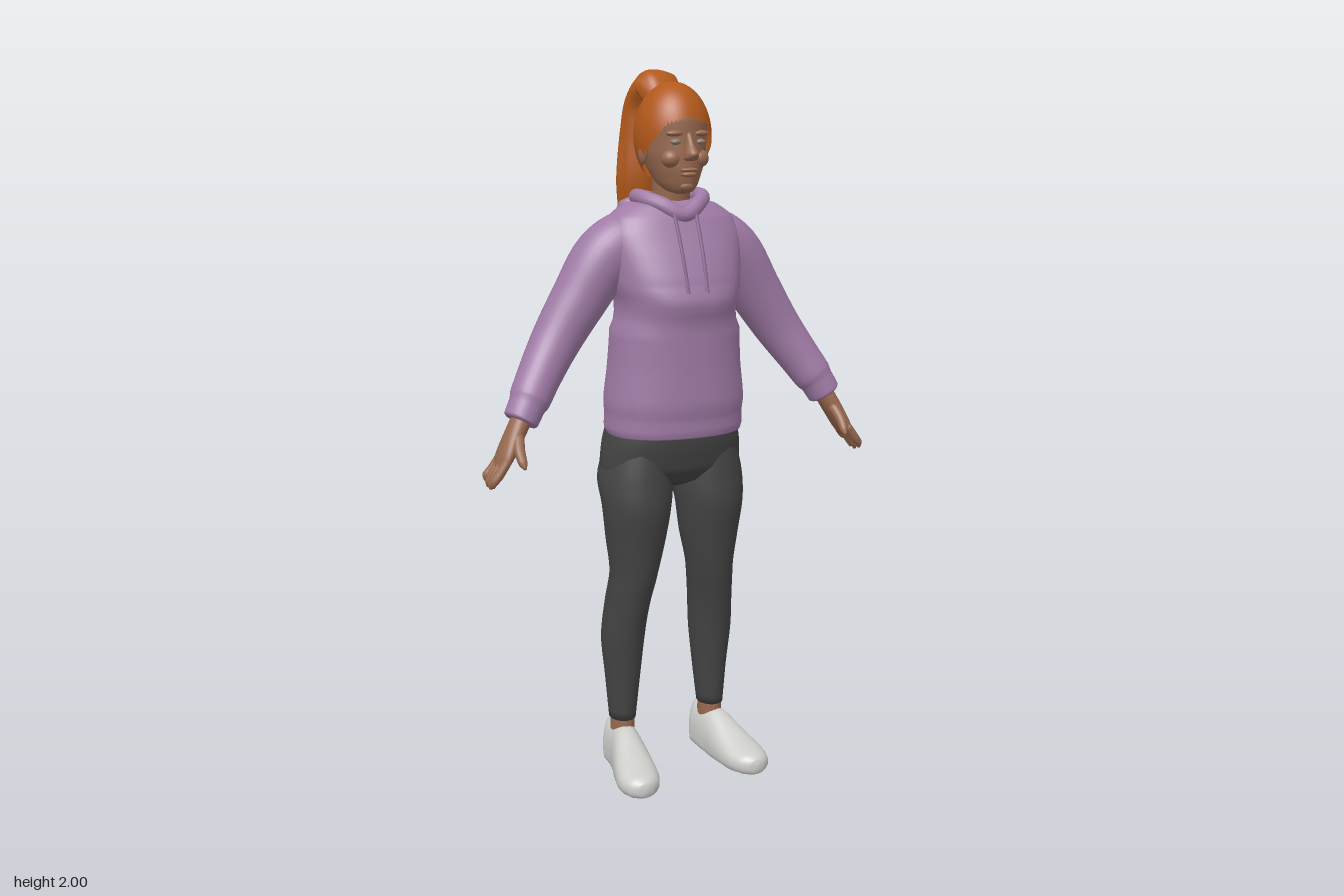
import * as THREE from 'three';

const mat = (name, color) => {
  const m = new THREE.MeshStandardMaterial({ color });
  m.name = name;
  return m;
};
const X = new THREE.Vector3(1, 0, 0), Z = new THREE.Vector3(0, 0, 1);
const UP = new THREE.Vector3(0, 1, 0), DOWN = new THREE.Vector3(0, -1, 0);

// Smooth closed skin through stations [x, y, z, radius along ref, other radius]
function loft(stations, { ref = X, axis = null, n = 2, seg = 32, steps = 5, wave = null } = {}) {
  const path = new THREE.CatmullRomCurve3(stations.map(s => new THREE.Vector3(s[0], s[1], s[2])));
  const radii = new THREE.CatmullRomCurve3(stations.map(s => new THREE.Vector3(s[3], s[4], 0)));
  const rows = (stations.length - 1) * steps, pos = [], idx = [];
  const pw = v => Math.sign(v) * Math.abs(v) ** (2 / n);
  for (let i = 0; i <= rows; i++) {
    const k = i / rows, c = path.getPoint(k), r = radii.getPoint(k);
    const t = axis || path.getTangent(k);
    const u = ref.clone().addScaledVector(t, -ref.dot(t)).normalize();
    const v = new THREE.Vector3().crossVectors(t, u);
    for (let j = 0; j < seg; j++) {
      const a = j / seg * Math.PI * 2, w = wave ? wave(a, k) : 1;
      const p = c.clone().addScaledVector(u, r.x * w * pw(Math.cos(a)))
        .addScaledVector(v, r.y * w * pw(Math.sin(a)));
      pos.push(p.x, p.y, p.z);
      if (i < rows) {
        const A = i * seg + j, B = i * seg + (j + 1) % seg;
        idx.push(A, B, A + seg, B, B + seg, A + seg);
      }
    }
  }
  const first = stations[0], last = stations[stations.length - 1], e = (rows + 1) * seg;
  pos.push(first[0], first[1], first[2], last[0], last[1], last[2]);
  for (let j = 0; j < seg; j++) {
    const q = (j + 1) % seg;
    idx.push(e, q, j, e + 1, rows * seg + j, rows * seg + q);
  }
  const g = new THREE.BufferGeometry();
  g.setAttribute('position', new THREE.Float32BufferAttribute(pos, 3));
  g.setIndex(idx);
  g.computeVertexNormals();
  return g;
}

function ball(x, y, z, rx, ry, rz) {
  return new THREE.SphereGeometry(1, 24, 16).scale(rx, ry, rz).translate(x, y, z);
}

export function createModel() {
  const root = new THREE.Group();
  const skin = mat('skin', 0x98694f), hair = mat('red hair', 0xb2591b);
  const knit = mat('lilac fabric', 0xa07ba6), cord = mat('cord', 0x87658d);
  const dark = mat('charcoal leggings', 0x444444), white = mat('shoe white', 0xcdcdca);
  const eyeMat = mat('eyes', 0x8d7c72);
  hair.side = THREE.DoubleSide;
  knit.side = THREE.DoubleSide;
  const add = (name, geo, m) => {
    const mesh = new THREE.Mesh(geo, m);
    mesh.name = name;
    root.add(mesh);
    return mesh;
  };

  // Hoodie body
  const torso = [
    [0, 1.01, 0.01, 0.193, 0.146], [0, 1.03, 0.01, 0.198, 0.15], [0, 1.06, 0.011, 0.197, 0.15],
    [0, 1.10, 0.013, 0.199, 0.155], [0, 1.2, 0.016, 0.188, 0.15], [0, 1.3, 0.02, 0.182, 0.147],
    [0, 1.42, 0.022, 0.182, 0.147], [0, 1.5, 0.01, 0.192, 0.13], [0, 1.56, -0.002, 0.198, 0.112],
    [0, 1.605, -0.01, 0.18, 0.098], [0, 1.64, -0.015, 0.13, 0.078], [0, 1.65, -0.015, 0.09, 0.06]];
  add('hoodieBody', loft(torso, { axis: UP, n: 2.3, seg: 48 }), knit);

  // Front pocket, a thin skin following the belly
  const pocket = new THREE.PlaneGeometry(2, 0.18, 24, 10), pp = pocket.attributes.position;
  for (let i = 0; i < pp.count; i++) {
    const y = pp.getY(i) + 1.155;
    const x = pp.getX(i) * (y > 1.15 ? 0.16 - (y - 1.15) * 0.45 : 0.16);
    const k = torso.findIndex(s => s[1] > y), a = torso[k - 1], b = torso[k];
    const f = (y - a[1]) / (b[1] - a[1]), mix = c => a[c] + (b[c] - a[c]) * f;
    pp.setXYZ(i, x, y, mix(2) + mix(4) * (1 - (Math.abs(x) / mix(3)) ** 2.3) ** (1 / 2.3) + 0.006);
  }
  pocket.computeVertexNormals();
  add('pocket', pocket, knit);

  // Hood: rolled collar and the bag lying on the back
  const collar = new THREE.CatmullRomCurve3([[0, 1.612, 0.08], [0.055, 1.64, 0.055], [0.09, 1.657, 0],
    [0.07, 1.655, -0.07], [0, 1.645, -0.1], [-0.07, 1.655, -0.07], [-0.09, 1.657, 0],
    [-0.055, 1.64, 0.055]].map(p => new THREE.Vector3(...p)), true);
  add('hoodCollar', new THREE.TubeGeometry(collar, 64, 0.022, 12, true), knit);
  add('hoodBag', loft([[0, 1.66, -0.08, 0.075, 0.03], [0, 1.64, -0.095, 0.115, 0.045],
    [0, 1.59, -0.105, 0.125, 0.05], [0, 1.54, -0.11, 0.1, 0.045], [0, 1.5, -0.11, 0.05, 0.025],
    [0, 1.485, -0.11, 0.01, 0.008]], { axis: DOWN }), knit);

  // Leggings seat
  add('leggingsSeat', loft([[0, 1.06, 0, 0.18, 0.13], [0, 0.98, -0.006, 0.202, 0.132],
    [0, 0.91, -0.011, 0.208, 0.12], [0, 0.87, -0.01, 0.16, 0.09], [0, 0.85, -0.01, 0.05, 0.05]],
  { axis: DOWN, n: 2.3 }), dark);

  for (const s of [1, -1]) {
    const side = s > 0 ? 'left' : 'right';
    const limb = (name, st, m, opt) => add(side + name, loft(st.map(([x, ...r]) => [x * s, ...r]), opt), m);

    // Sleeve with cuff
    limb('Sleeve', [[0.11, 1.54, -0.015, 0.07, 0.07], [0.14, 1.535, -0.015, 0.085, 0.085],
      [0.19, 1.5, -0.018, 0.086, 0.086], [0.27, 1.385, -0.018, 0.076, 0.077],
      [0.34, 1.28, -0.01, 0.068, 0.068], [0.4, 1.19, 0.018, 0.06, 0.06],
      [0.435, 1.135, 0.04, 0.056, 0.056], [0.446, 1.118, 0.046, 0.05, 0.05],
      [0.465, 1.085, 0.053, 0.05, 0.048], [0.468, 1.08, 0.054, 0.043, 0.042]], knit, { ref: Z });

    // Hand
    limb('Palm', [[0.455, 1.1, 0.05, 0.03, 0.028], [0.49, 1.04, 0.06, 0.038, 0.026],
      [0.518, 0.99, 0.066, 0.046, 0.021], [0.532, 0.962, 0.068, 0.04, 0.014]], skin, { ref: Z });
    for (let f = 0; f < 4; f++) {
      const z = 0.033 + f * 0.023, d = [0.014, 0.002, 0, 0.008][f];
      limb('Finger' + (f + 1), [[0.518, 0.99, z, 0.012, 0.012], [0.546, 0.95, z, 0.013, 0.013],
        [0.559, 0.925 + d, z, 0.011, 0.011], [0.562, 0.91 + d, z, 0.004, 0.004]], skin,
      { ref: Z, seg: 12, steps: 4 });
    }
    limb('Thumb', [[0.482, 1.045, 0.08, 0.016, 0.018], [0.49, 1.012, 0.112, 0.015, 0.015],
      [0.489, 0.985, 0.135, 0.012, 0.012], [0.487, 0.972, 0.147, 0.004, 0.004]], skin,
    { ref: X, seg: 12, steps: 4 });

    // Leg and ankle
    limb('Leg', [[0.105, 0.97, -0.008, 0.085, 0.11], [0.109, 0.88, -0.011, 0.105, 0.122],
      [0.113, 0.8, 0.01, 0.098, 0.105], [0.115, 0.7, 0.006, 0.085, 0.092],
      [0.12, 0.6, 0.002, 0.068, 0.079], [0.132, 0.5, -0.02, 0.063, 0.079],
      [0.14, 0.4, -0.035, 0.062, 0.074], [0.141, 0.27, -0.038, 0.05, 0.059],
      [0.143, 0.145, -0.037, 0.038, 0.047]], dark, { axis: DOWN });
    limb('Ankle', [[0.143, 0.17, -0.037, 0.034, 0.042], [0.143, 0.08, -0.037, 0.034, 0.045]], skin, { axis: DOWN });

    // Shoe: rounded upper, flat sole
    const shoe = limb('Shoe', [[0.142, 0.05, -0.112, 0.012, 0.03], [0.142, 0.04, -0.104, 0.034, 0.085],
      [0.143, 0.035, -0.08, 0.045, 0.094], [0.145, 0.035, -0.02, 0.047, 0.094],
      [0.15, 0.035, 0.015, 0.05, 0.09], [0.16, 0.03, 0.08, 0.059, 0.066], [0.171, 0.025, 0.15, 0.062, 0.044],
      [0.175, 0.025, 0.195, 0.048, 0.034], [0.176, 0.025, 0.215, 0.024, 0.022],
      [0.176, 0.025, 0.22, 0.006, 0.008]], white, { axis: Z, n: 2.2 });
    const sp = shoe.geometry.attributes.position;
    for (let i = 0; i < sp.count; i++) sp.setY(i, Math.max(0, sp.getY(i)));
    shoe.geometry.computeVertexNormals();

    // Hood cord, ear, eye and brow ridge
    const line = new THREE.CatmullRomCurve3([[0.032, 1.618, 0.088], [0.031, 1.56, 0.116],
      [0.03, 1.5, 0.142], [0.028, 1.41, 0.172]].map(([x, y, z]) => new THREE.Vector3(x * s, y, z)));
    add(side + 'Cord', new THREE.TubeGeometry(line, 24, 0.005, 8), cord);
    add(side + 'Ear', ball(s * 0.09, 1.775, 0.012, 0.012, 0.03, 0.018), skin);
    add(side + 'Eye', ball(s * 0.036, 1.806, 0.105, 0.015, 0.008, 0.012), eyeMat);
    add(side + 'Brow', ball(s * 0.036, 1.828, 0.1, 0.026, 0.009, 0.017), skin);
    add(side + 'Cheek', ball(s * 0.04, 1.762, 0.086, 0.028, 0.025, 0.027), skin);
  }

  // Neck, head and face
  add('neck', loft([[0, 1.57, -0.02, 0.065, 0.06], [0, 1.66, -0.005, 0.052, 0.055],
    [0, 1.76, 0, 0.055, 0.06]], { axis: UP }), skin);
  add('head', loft([[0, 1.668, 0.06, 0.012, 0.02], [0, 1.675, 0.055, 0.034, 0.042],
    [0, 1.695, 0.035, 0.053, 0.073], [0, 1.735, 0.02, 0.071, 0.096], [0, 1.775, 0.013, 0.083, 0.103],
    [0, 1.815, 0.008, 0.088, 0.107], [0, 1.865, 0.006, 0.093, 0.109], [0, 1.91, 0.005, 0.075, 0.085],
    [0, 1.94, 0.005, 0.03, 0.035]], { axis: UP }), skin);
  add('nose', loft([[0, 1.83, 0.104, 0.009, 0.012], [0, 1.8, 0.116, 0.011, 0.018],
    [0, 1.775, 0.127, 0.018, 0.027], [0, 1.762, 0.123, 0.019, 0.022], [0, 1.756, 0.115, 0.008, 0.01]],
  { axis: DOWN, seg: 16 }), skin);
  add('upperLip', ball(0, 1.733, 0.113, 0.026, 0.006, 0.014), skin);
  add('lowerLip', ball(0, 1.721, 0.111, 0.022, 0.007, 0.014), skin);
  add('chin', ball(0, 1.69, 0.09, 0.024, 0.016, 0.02), skin);

  // Hair cap: shell with a hairline falling from the brow to the nape
  const cap = new THREE.SphereGeometry(1, 64, 24), cp = cap.attributes.position, uv = cap.attributes.uv;
  const hairline = [[0, 1.868], [0.6, 1.85], [1.0, 1.80], [1.35, 1.765], [1.8, 1.72], [3.2, 1.69]];
  for (let i = 0; i < cp.count; i++) {
    const az = uv.getX(i) * Math.PI * 2, a = Math.abs(az - Math.PI);
    const k = Math.max(1, hairline.findIndex(h => h[0] > a)), [p, q] = [hairline[k - 1], hairline[k]];
    const edge = p[1] + (q[1] - p[1]) * (a - p[0]) / (q[0] - p[0]);
    const th = (1 - uv.getY(i)) * Math.acos((edge - 1.82) / 0.143), r = Math.sin(th);
    cp.setXYZ(i, -Math.sin(az) * r * 0.104, 1.82 + Math.cos(th) * 0.143, 0.006 - Math.cos(az) * r * 0.116);
  }
  cap.computeVertexNormals();
  add('hairCap', cap, hair);

  // Ponytail with wavy locks
  add('ponytail', loft([[0, 1.88, -0.05, 0.035, 0.03], [0, 1.925, -0.07, 0.055, 0.04],
    [0, 1.95, -0.1, 0.066, 0.048], [0, 1.91, -0.14, 0.074, 0.05], [0, 1.82, -0.155, 0.082, 0.052],
    [0, 1.71, -0.16, 0.09, 0.052], [0, 1.62, -0.172, 0.082, 0.044], [0, 1.55, -0.182, 0.058, 0.034],
    [0, 1.51, -0.188, 0.035, 0.022], [0, 1.488, -0.192, 0.008, 0.006]],
  { seg: 64, steps: 8, wave: (a, k) => 1 + 0.045 * k * Math.sin(9 * a + 7 * k) + 0.03 * Math.sin(5 * a - 4 * k) }), hair);

  return root;
}
